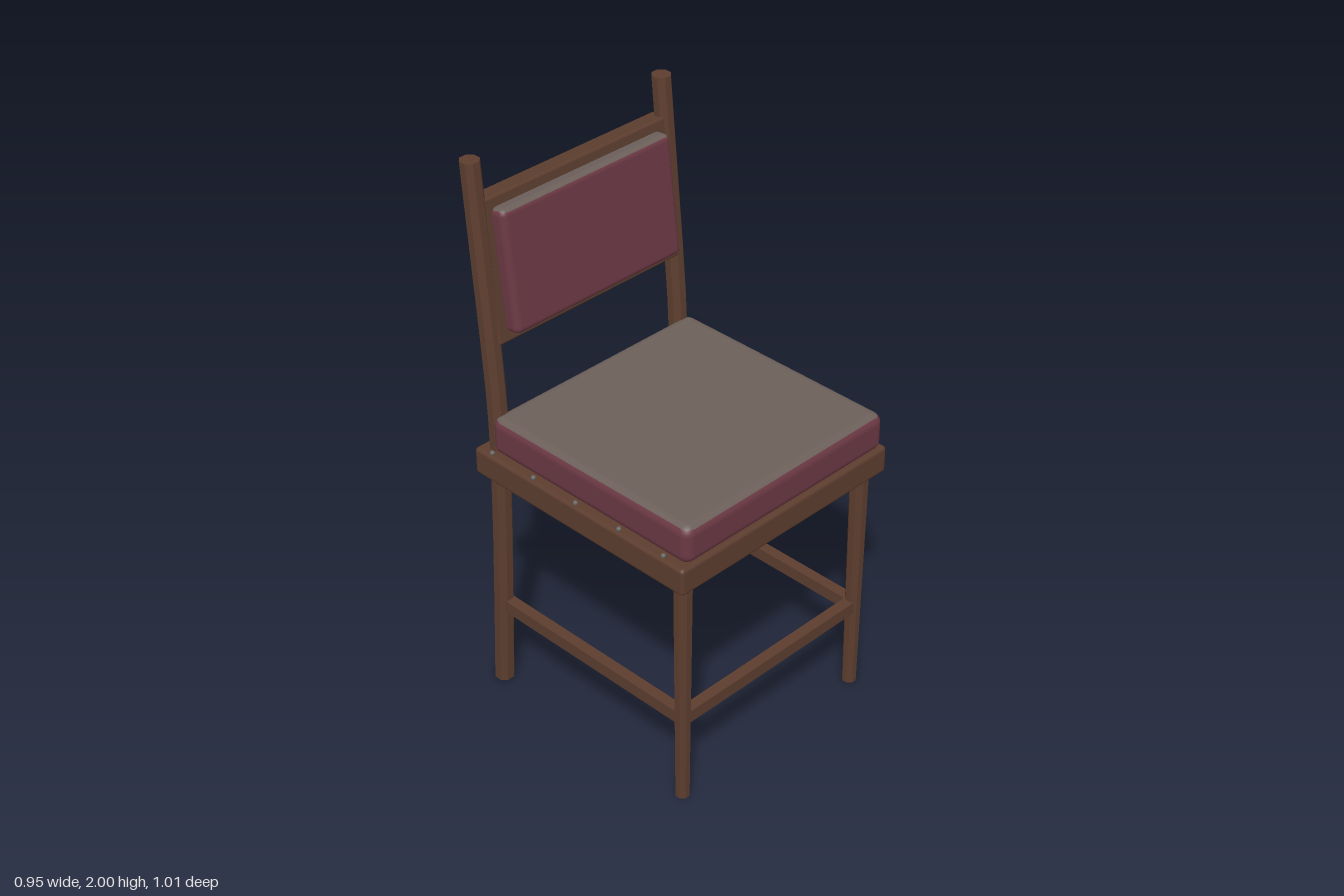
import * as THREE from 'three';
import { RoundedBoxGeometry } from 'three/addons/geometries/RoundedBoxGeometry.js';

const mat = (name, color) => {
  const m = new THREE.MeshStandardMaterial({ color });
  m.name = name;
  return m;
};

// Faceted copy of a geometry
const faceted = (geo) => {
  const g = geo.toNonIndexed();
  g.computeVertexNormals();
  return g;
};

// Centre line of the swept back posts: [y, z]
const POST = [[0, -0.422], [0.3, -0.408], [0.65, -0.394], [0.95, -0.388], [1.15, -0.392], [1.4, -0.412], [2, -0.467]];
function postZ(y) {
  let i = 0;
  while (i < POST.length - 2 && y > POST[i + 1][0]) i++;
  const [[y0, z0], [y1, z1]] = [POST[i], POST[i + 1]];
  return THREE.MathUtils.lerp(z0, z1, (y - y0) / (y1 - y0));
}

// Eight-sided post bent along the centre line
function postGeometry() {
  const geo = new THREE.CylinderGeometry(0.034, 0.035, 2, 8, 20);
  geo.rotateY(Math.PI / 8);
  geo.translate(0, 1, 0);
  const p = geo.attributes.position;
  for (let i = 0; i < p.count; i++) p.setZ(i, p.getZ(i) + postZ(p.getY(i)));
  return faceted(geo);
}

// Padded box whose upward faces use the second material
function cushionGeometry(w, h, d, r, tilt) {
  const geo = new RoundedBoxGeometry(w, h, d, 5, r);
  geo.rotateX(tilt);
  const n = geo.attributes.normal;
  geo.clearGroups();
  for (let i = 0; i < n.count; i += 3) {
    const up = (n.getY(i) + n.getY(i + 1) + n.getY(i + 2)) / 3;
    const m = up > 0.66 ? 1 : 0;
    const last = geo.groups[geo.groups.length - 1];
    if (last && last.materialIndex === m) last.count += 3;
    else geo.addGroup(i, 3, m);
  }
  return geo;
}

export function createModel() {
  const wood = mat('darkWood', 0x5c3d2e);
  const fabric = mat('maroonFabric', 0x6a3843);
  const worn = mat('fadedFabric', 0x6c5f5a);
  const metal = mat('nailMetal', 0x66625f);

  const model = new THREE.Group();
  model.name = 'chair';
  const add = (name, geo, material, x, y, z) => {
    const mesh = new THREE.Mesh(geo, material);
    mesh.name = name;
    mesh.position.set(x, y, z);
    model.add(mesh);
    return mesh;
  };

  // Seat frame and cushion
  add('seatFrame', new RoundedBoxGeometry(0.95, 0.1, 0.95, 2, 0.014), wood, 0, 0.93, 0.03);
  add('seatCushion', cushionGeometry(0.91, 0.14, 0.888, 0.036, 0), [fabric, worn], 0, 1.05, 0.061);

  // Legs, posts, side stretchers and nails, mirrored
  const post = postGeometry();
  const leg = faceted(new THREE.CylinderGeometry(0.033, 0.025, 0.9, 8).rotateY(Math.PI / 8));
  const nail = new THREE.SphereGeometry(0.009, 10, 8);
  for (const s of [1, -1]) {
    const side = s > 0 ? 'left' : 'right';
    add(side + 'BackPost', post, wood, s * 0.412, 0, 0);
    add(side + 'FrontLeg', leg, wood, s * 0.412, 0.45, 0.446);
    add(side + 'Stretcher', new THREE.BoxGeometry(0.04, 0.046, 0.84), wood, s * 0.41, 0.333, 0.02);
    for (let i = 0; i < 5; i++) add(side + 'Nail', nail, metal, s * 0.466, 0.991, -0.365 + i * 0.195);
  }
  add('frontStretcher', new THREE.BoxGeometry(0.81, 0.046, 0.04), wood, 0, 0.333, 0.446);

  // Tilted backrest panel with its pad
  const tilt = -0.12;
  const panel = new RoundedBoxGeometry(0.815, 0.503, 0.07, 2, 0.01);
  panel.rotateX(tilt);
  add('backPanel', panel, wood, 0, 1.611, -0.438);
  add('backCushion', cushionGeometry(0.738, 0.432, 0.07, 0.024, tilt), [fabric, worn], 0, 1.616, -0.387);

  return model;
}
